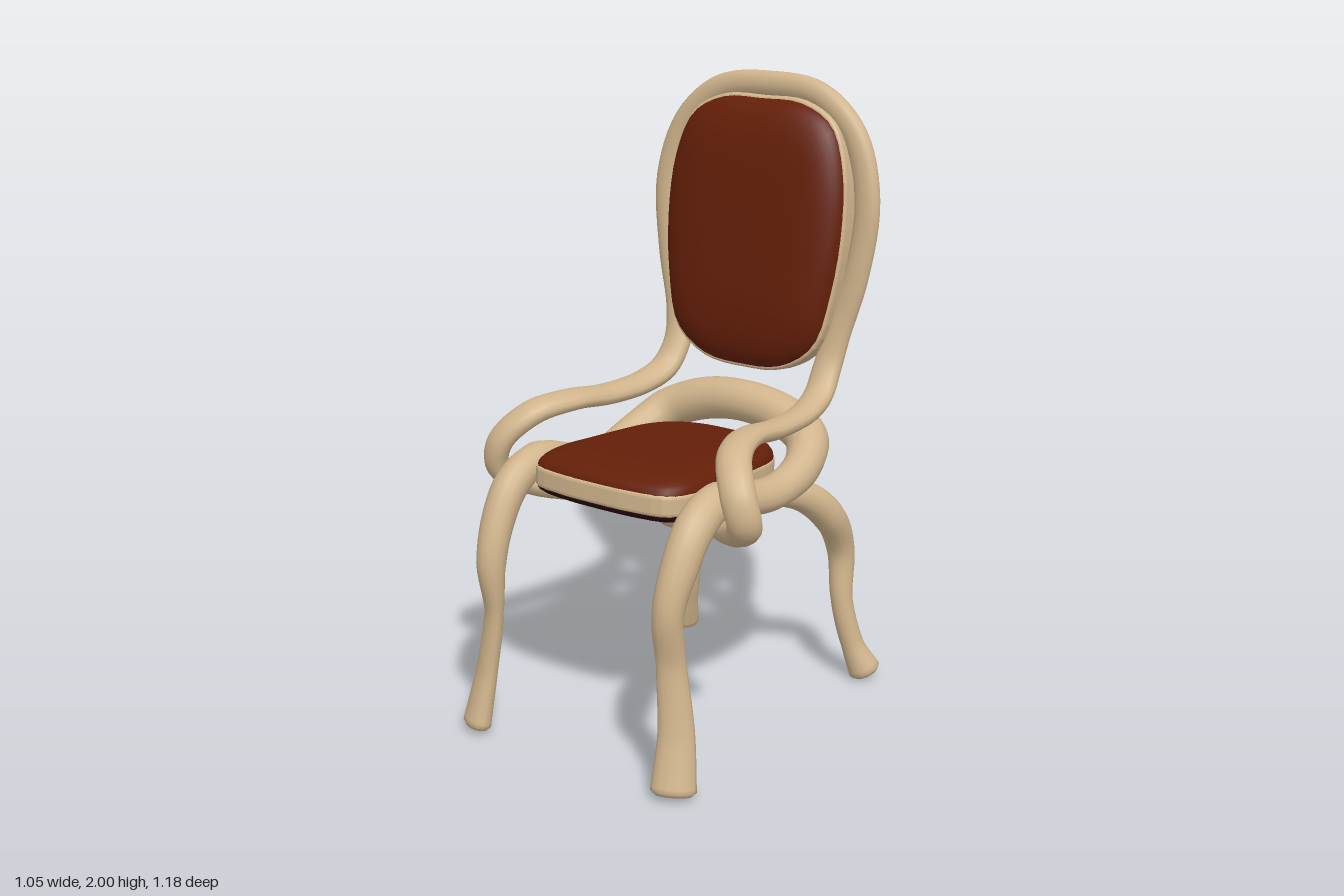
import * as THREE from 'three';

const V = (p) => new THREE.Vector3(...p);

// Symmetric path from a half that starts on x = 0; entries are [x, y, z, radius, thinRadius]
const mirrorPath = (half) => [
  ...half.slice(1).reverse().map(([x, ...rest]) => [-x, ...rest]),
  ...half,
];

// Limb of varying oval section swept along a symmetric path, closed at both ends
function limb(half, sides = 14, perSpan = 6) {
  const points = mirrorPath(half);
  const curve = new THREE.CatmullRomCurve3(points.map((p) => V(p.slice(0, 3))));
  const spans = points.length - 1;
  const steps = spans * perSpan;
  const mid = steps / 2;
  const pos = [];
  const index = [];
  // Carry the thin direction from the middle to one end and mirror it to the other
  const thin = [];
  const dir = new THREE.Vector3(0, 0, 1);
  for (let k = 0; k <= mid; k++) {
    const tan = curve.getTangent((mid + k) / steps);
    dir.addScaledVector(tan, -dir.dot(tan)).normalize();
    thin[mid + k] = dir.clone();
    thin[mid - k] = new THREE.Vector3(-dir.x, dir.y, dir.z);
  }
  for (let i = 0; i <= steps; i++) {
    const t = i / steps;
    const c = curve.getPoint(t);
    const tan = curve.getTangent(t);
    const b = new THREE.Vector3().crossVectors(tan, thin[i]).normalize();
    const k = Math.min(Math.floor(t * spans), spans - 1);
    const f = t * spans - k;
    const [p, q] = [points[k], points[k + 1]];
    const wide = THREE.MathUtils.lerp(p[3], q[3], f);
    const narrow = THREE.MathUtils.lerp(p[4] ?? p[3], q[4] ?? q[3], f);
    const ring = (shift, s) => {
      for (let j = 0; j < sides; j++) {
        const a = (j / sides) * Math.PI * 2;
        const v = c.clone().addScaledVector(tan, shift)
          .addScaledVector(thin[i], Math.cos(a) * narrow * s)
          .addScaledVector(b, Math.sin(a) * wide * s);
        pos.push(v.x, v.y, v.z);
      }
    };
    if (i === 0) { ring(-0.012, 0.001); ring(-0.012, 0.8); }
    ring(0, 1);
    if (i === steps) { ring(0.012, 0.8); ring(0.012, 0.001); }
  }
  for (let i = 0; i < steps + 4; i++) {
    for (let j = 0; j < sides; j++) {
      const k = (j + 1) % sides;
      const [p, q] = [i * sides, (i + 1) * sides];
      index.push(p + j, p + k, q + j, p + k, q + k, q + j);
    }
  }
  return finish(pos, index);
}

function finish(pos, index) {
  const g = new THREE.BufferGeometry();
  g.setAttribute('position', new THREE.Float32BufferAttribute(pos, 3));
  g.setIndex(index);
  g.computeVertexNormals();
  return g;
}

// Closed symmetric outline from its right half, listed top to bottom
function outline(half) {
  const left = half.slice(1, -1).reverse().map(([x, y]) => [-x, y]);
  const all = [...half, ...left].reverse().map(([x, y]) => V([x, y, 0]));
  return new THREE.CatmullRomCurve3(all, true);
}

// Padded surface over an outline, bulging towards +z; a higher power makes a squarer rim.
// The r and u ranges allow a patch that covers only part of it.
function dome(curve, height, lift, power, r0 = 0, r1 = 1, u0 = 0, u1 = 1) {
  const rings = 16;
  const segs = 56;
  const pos = [];
  const index = [];
  for (let i = 0; i <= rings; i++) {
    const s = r0 + (r1 - r0) * Math.sin((i / rings) * Math.PI / 2);
    for (let j = 0; j <= segs; j++) {
      const p = curve.getPoint(u0 + (u1 - u0) * (j / segs));
      pos.push(p.x * s, p.y * s, lift + height * Math.pow(Math.max(0, 1 - s ** power), 0.55));
    }
  }
  const w = segs + 1;
  for (let i = 0; i < rings; i++) {
    for (let j = 0; j < segs; j++) {
      const a = i * w + j;
      index.push(a, a + w, a + 1, a + 1, a + w, a + w + 1);
    }
  }
  return finish(pos, index);
}

// Wooden board with rounded rim, centred on z = 0
function board(curve, thickness, scale) {
  const pts = curve.getPoints(64).slice(0, -1).map((p) => new THREE.Vector2(p.x * scale, p.y * scale));
  const bevel = 0.012;
  const depth = thickness - 2 * bevel;
  const g = new THREE.ExtrudeGeometry(new THREE.Shape(pts), {
    depth, bevelEnabled: true, bevelThickness: bevel, bevelSize: bevel, bevelOffset: -bevel, bevelSegments: 3,
  });
  return g.translate(0, 0, -depth / 2);
}

export function createModel() {
  const material = (name, color) => {
    const m = new THREE.MeshStandardMaterial({ color });
    m.name = name;
    return m;
  };
  const wood = material('pale wood', 0xd0b48c);
  const leather = material('red brown leather', 0x641f08);
  const lining = material('dark maroon lining', 0x2b070b);

  const model = new THREE.Group();
  model.name = 'chair';
  const add = (parent, name, geometry, mat) => {
    const mesh = new THREE.Mesh(geometry, mat);
    mesh.name = name;
    parent.add(mesh);
    return mesh;
  };
  const addGroup = (parent, name) => {
    const group = new THREE.Group();
    group.name = name;
    parent.add(group);
    return group;
  };

  // One continuous limb: back hoop, arms, crossing under-seat bars, rear legs
  add(model, 'backFrameArmsAndRearLegs', limb([
    [0, 1.958, -0.488, 0.042, 0.031], [0.19, 1.935, -0.486, 0.042, 0.031], [0.325, 1.82, -0.478, 0.044, 0.031],
    [0.385, 1.63, -0.46, 0.045, 0.03], [0.365, 1.4, -0.442, 0.044, 0.03], [0.315, 1.21, -0.42, 0.046, 0.032],
    [0.297, 1.1, -0.39, 0.05, 0.035], [0.303, 1.02, -0.33, 0.052, 0.035], [0.315, 0.985, -0.23, 0.052, 0.032],
    [0.328, 0.98, -0.05, 0.053, 0.031], [0.342, 0.997, 0.12, 0.056, 0.031], [0.39, 0.975, 0.25, 0.054, 0.036],
    [0.457, 0.89, 0.322, 0.054, 0.038], [0.476, 0.8, 0.315, 0.052, 0.038], [0.4, 0.748, 0.255, 0.047, 0.04],
    [0.2, 0.727, 0.13, 0.045, 0.042], [0, 0.705, 0, 0.043], [0.12, 0.705, -0.15, 0.046],
    [0.24, 0.69, -0.3, 0.052], [0.29, 0.59, -0.425, 0.055], [0.292, 0.45, -0.505, 0.046],
    [0.31, 0.28, -0.49, 0.036], [0.345, 0.12, -0.51, 0.038], [0.378, 0.03, -0.535, 0.054],
  ]), wood);

  // Drop-shaped boss where the under-seat bars cross
  const boss = add(model, 'crossingBoss', new THREE.SphereGeometry(1, 16, 10), wood);
  boss.position.set(0, 0.675, 0);
  boss.scale.set(0.11, 0.068, 0.075);

  // One continuous limb: rear seat arch, side rails, front legs
  add(model, 'seatRailAndFrontLegs', limb([
    [0, 0.95, -0.34, 0.068], [0.15, 0.93, -0.34, 0.07], [0.275, 0.88, -0.31, 0.07],
    [0.33, 0.82, -0.2, 0.06], [0.337, 0.785, -0.05, 0.048, 0.055], [0.337, 0.803, 0.12, 0.048, 0.056],
    [0.345, 0.84, 0.28, 0.055, 0.058], [0.35, 0.79, 0.39, 0.056, 0.06], [0.349, 0.69, 0.46, 0.052, 0.056],
    [0.342, 0.56, 0.505, 0.046, 0.047], [0.346, 0.4, 0.494, 0.029, 0.045], [0.372, 0.2, 0.505, 0.033, 0.055],
    [0.382, 0.1, 0.524, 0.038, 0.063], [0.388, 0.028, 0.54, 0.043, 0.069],
  ]), wood);

  // Backrest panel with padding on both faces
  const backrest = addGroup(model, 'backrest');
  backrest.position.set(0, 1.5, -0.415);
  backrest.rotation.x = -0.12;
  const backLine = outline([
    [0, 0.42], [0.15, 0.415], [0.265, 0.355], [0.32, 0.22], [0.335, 0.04],
    [0.315, -0.17], [0.265, -0.34], [0.15, -0.42], [0, -0.435],
  ]);
  add(backrest, 'backrestPanel', board(backLine, 0.07, 1.02), wood).position.z = -0.01;
  add(backrest, 'backrestFrontPad', dome(backLine, 0.08, 0.015, 4.5), leather);
  const rear = addGroup(backrest, 'backrestRear');
  rear.rotation.y = Math.PI;
  add(rear, 'rearPad', dome(backLine, 0.053, 0.037, 13), lining);
  add(rear, 'rearPadPatch', dome(backLine, 0.053, 0.04, 13, 0.22, 0.88, 0.725, 0.93), leather);
  add(rear, 'rearPadTopRim', dome(backLine, 0.053, 0.039, 13, 0.96, 1, 0.74, 1), leather).scale.set(1.006, 1.006, 1);

  // Seat board with a leather top and dark underside
  const seat = addGroup(model, 'seat');
  seat.position.y = 0.815;
  seat.rotation.x = -Math.PI / 2 - 0.05;
  const seatLine = outline([
    [0, 0.288], [0.11, 0.278], [0.2, 0.228], [0.25, 0.15], [0.268, 0.04], [0.279, -0.14],
    [0.284, -0.3], [0.25, -0.385], [0.13, -0.415], [0, -0.42],
  ]);
  add(seat, 'seatBoard', board(seatLine, 0.068, 1.012), wood);
  add(seat, 'seatTopPad', dome(seatLine, 0.052, 0.031, 8), leather);
  // The outline is symmetric, so turning it half round puts the pad below
  const under = addGroup(seat, 'seatUnderside');
  under.rotation.y = Math.PI;
  add(under, 'seatUndersidePad', dome(seatLine, 0.038, 0.031, 9), lining);

  return model;
}
